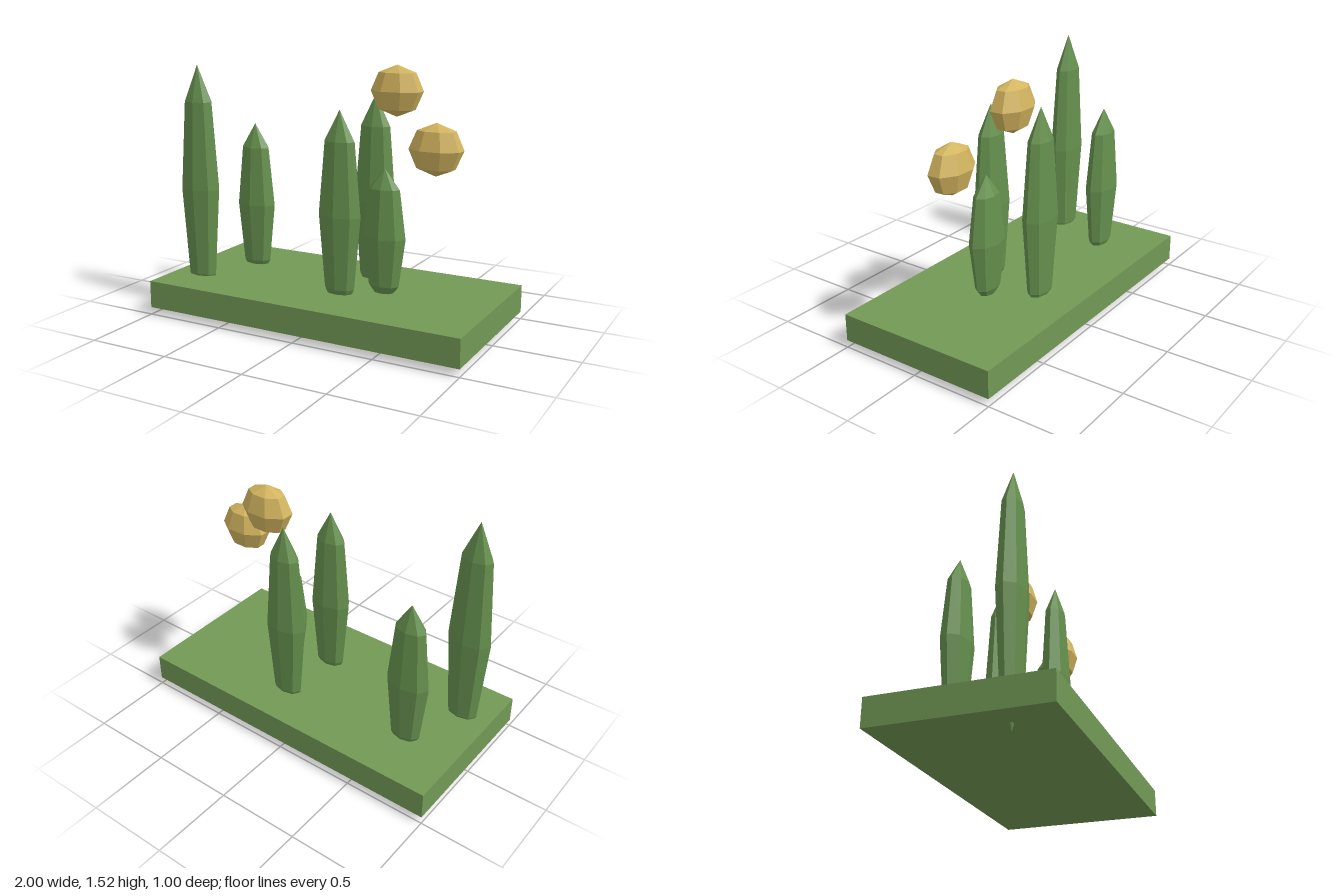
import * as THREE from 'three';

const material = (color) => new THREE.MeshStandardMaterial({ color, flatShading: true });

export function createModel() {
  const model = new THREE.Group();
  const grass = material(0x729955);
  const leaf = material(0x66914e);
  const gold = material(0xd2b45f);

  const add = (name, geometry, mat, x, y, z) => {
    const mesh = new THREE.Mesh(geometry, mat);
    mesh.name = name;
    mesh.position.set(x, y, z);
    model.add(mesh);
    return mesh;
  };

  // Ground slab
  add('ground', new THREE.BoxGeometry(2, 0.165, 1), grass, 0, 0.1375, 0);

  // Slender trees: stretched low-poly spheres sunk into the slab [x, y, z, half height]
  const treeShape = new THREE.SphereGeometry(1, 8, 4);
  const trees = [
    [-0.815, 0.76, 0.213, 0.75],
    [-0.655, 0.61, -0.158, 0.515],
    [0.108, 0.68, 0.14, 0.61],
    [0.15, 0.697, -0.233, 0.648],
    [0.33, 0.55, 0.01, 0.405],
  ];
  trees.forEach(([x, y, z, h], i) => {
    add(`tree${i + 1}`, treeShape, leaf, x, y, z).scale.set(0.136, h, 0.081);
  });

  // Floating golden orbs, turned so a flat facet faces each axis
  const turn = Math.PI / 8;
  const orbShape = new THREE.SphereGeometry(1, 8, 4).rotateY(turn);
  const c = Math.cos(turn);
  [[0.318, 1.377, -0.167], [0.637, 1.084, 0]].forEach(([x, y, z], i) => {
    add(`orb${i + 1}`, orbShape, gold, x, y, z).scale.set(0.15 / c, 0.15, 0.095 / c);
  });

  return model;
}
